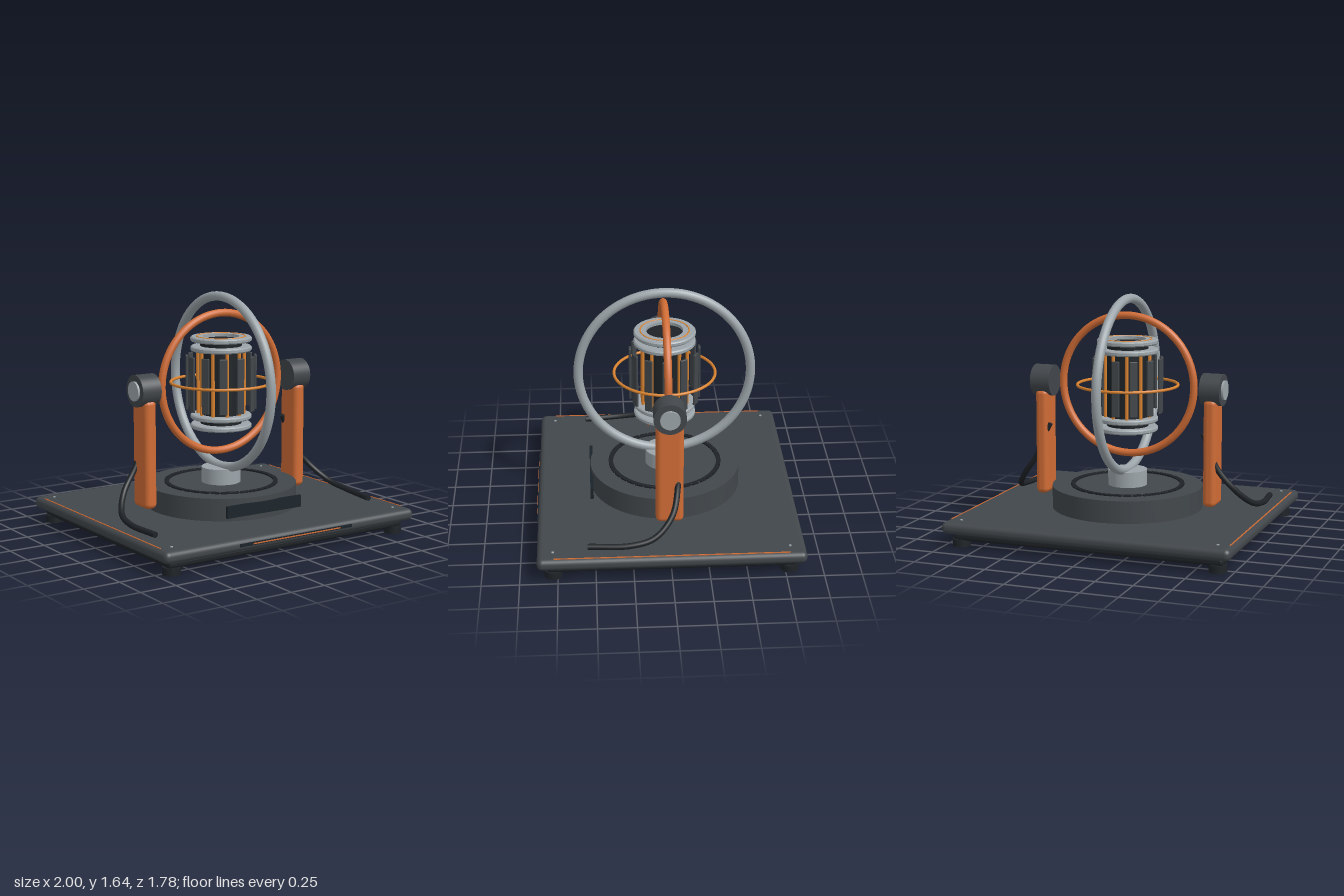
import * as THREE from 'three';
import { RoundedBoxGeometry } from 'three/addons/geometries/RoundedBoxGeometry.js';

const mat = (color) => new THREE.MeshStandardMaterial({ color });
const DARK = mat(0x42474b), BLACK = mat(0x1f2327), PANEL = mat(0x1a232a);
const LIGHT = mat(0x9ca5aa), ORANGE = mat(0xd06c35), COPPER = mat(0xd8822f);
const CY = 1.022; // height of the shared ring centre

export function createModel() {
  const model = new THREE.Group();

  const add = (name, geometry, material, x = 0, y = 0, z = 0, parent = model) => {
    const mesh = new THREE.Mesh(geometry, material);
    mesh.name = name;
    mesh.position.set(x, y, z);
    parent.add(mesh);
    return mesh;
  };
  const box = (w, h, d) => new THREE.BoxGeometry(w, h, d);
  const rounded = (w, h, d, r) => new RoundedBoxGeometry(w, h, d, 4, r);
  const cyl = (r, h, n = 48) => new THREE.CylinderGeometry(r, r, h, n);
  const torus = (r, t) => new THREE.TorusGeometry(r, t, 16, 96);
  // Flat annulus with softened rims
  const annulus = (inner, outer, h, b = 0.008) => new THREE.LatheGeometry([
    [inner, -h / 2], [outer - b, -h / 2], [outer, -h / 2 + b],
    [outer, h / 2 - b], [outer - b, h / 2], [inner, h / 2], [inner, -h / 2],
  ].map(([x, y]) => new THREE.Vector2(x, y)), 64);
  const flat = (geometry) => {
    const g = geometry.toNonIndexed();
    g.computeVertexNormals();
    return g;
  };

  // Base plates and accent strips
  add('basePlate', rounded(2, 0.08, 1.77, 0.036), DARK, 0, 0.132, 0);
  add('lowerPlate', rounded(1.88, 0.055, 1.65, 0.022), BLACK, 0, 0.07, 0);
  add('frontInset', box(0.9, 0.02, 0.012), PANEL, 0, 0.136, 0.885);
  add('frontAccent', box(0.7, 0.008, 0.01), ORANGE, 0, 0.136, 0.889);
  for (const sx of [-1, 1]) {
    add('sideAccent', box(0.008, 0.008, 1.55), ORANGE, sx * 0.97, 0.171, 0);
    for (const sz of [-1, 1]) {
      add('foot', cyl(0.06, 0.05, 32), BLACK, sx * 0.895, 0.025, sz * 0.78);
      add('screw', cyl(0.009, 0.008, 16), LIGHT, sx * 0.893, 0.173, sz * 0.78);
    }
  }

  // Turntable with segmented track, hub and front panel
  add('turntable', cyl(0.52, 0.155, 96), DARK, 0, 0.2475, 0);
  add('turntablePanel', box(0.6, 0.08, 0.022), PANEL, 0, 0.25, 0.514);
  add('track', flat(annulus(0.362, 0.382, 0.012, 0.002)), BLACK, 0, 0.329, 0);
  for (let i = 0; i < 36; i++) {
    const a = (i / 36) * Math.PI * 2;
    const tick = add('trackSegment', box(0.016, 0.012, 0.054), BLACK,
      Math.cos(a) * 0.384, 0.33, Math.sin(a) * 0.384);
    tick.rotation.y = -a;
  }
  add('hub', cyl(0.135, 0.11), LIGHT, 0, 0.377, 0);

  // Gimbal rings
  add('innerGimbalRing', torus(0.476, 0.026), ORANGE, 0, CY, 0);
  add('outerGimbalRing', torus(0.588, 0.032), LIGHT, 0, CY, 0).rotation.y = Math.PI / 2;
  add('equatorRing', torus(0.345, 0.01), COPPER, 0, CY, 0).rotation.x = Math.PI / 2;

  // Central core: drum, stacked collars, rods and fins
  const core = new THREE.Group();
  core.name = 'core';
  core.position.y = CY;
  model.add(core);
  add('drum', cyl(0.142, 0.59), BLACK, 0, 0, 0, core);
  for (const s of [-1, 1]) {
    add('outerCollar', flat(annulus(0.125, 0.21, 0.033)), LIGHT, 0, s * 0.3, 0, core);
    add('innerCollar', flat(annulus(0.125, 0.21, 0.033)), LIGHT, 0, s * 0.235, 0, core);
    add('collarTrim', torus(0.165, 0.005), COPPER, 0, s * 0.316, 0, core).rotation.x = Math.PI / 2;
  }
  for (let i = 0; i < 10; i++) {
    const a = (i / 10) * Math.PI * 2;
    add('rod', cyl(0.012, 0.45, 12), COPPER, Math.cos(a) * 0.158, 0, Math.sin(a) * 0.158, core);
  }
  for (let i = 0; i < 12; i++) {
    const a = (i / 12) * Math.PI * 2;
    const fin = add('fin', rounded(0.017, 0.38, 0.055, 0.006), DARK,
      Math.cos(a) * 0.235, 0, Math.sin(a) * 0.235, core);
    fin.rotation.y = -a;
  }

  // Posts, bearings and cables on both sides
  for (const s of [-1, 1]) {
    add('post', rounded(0.09, 0.74, 0.185, 0.035), ORANGE, s * 0.612, 0.595, 0);
    add('bearing', cyl(0.108, 0.142), DARK, s * 0.614, CY, 0).rotation.z = Math.PI / 2;
    add('bearingCap', cyl(0.066, 0.03), LIGHT, s * 0.685, CY, 0).rotation.z = Math.PI / 2;
    const path = new THREE.CatmullRomCurve3([
      [0.56, 0.725, -0.05], [0.6, 0.64, -0.057], [0.655, 0.5, -0.052], [0.77, 0.35, -0.01],
      [0.86, 0.24, 0.11], [0.89, 0.205, 0.27], [0.87, 0.195, 0.55],
    ].map(([x, y, z]) => new THREE.Vector3(s * x, y, z)));
    add('cable', new THREE.TubeGeometry(path, 48, 0.02, 12), BLACK);
    // Closed cable ends
    for (const t of [0, 1]) {
      const end = add('cableEnd', new THREE.CircleGeometry(0.02, 12), BLACK);
      const p = path.getPointAt(t), d = path.getTangentAt(t).multiplyScalar(t ? 1 : -1);
      end.position.copy(p);
      end.lookAt(p.clone().add(d));
    }
  }
  return model;
}
